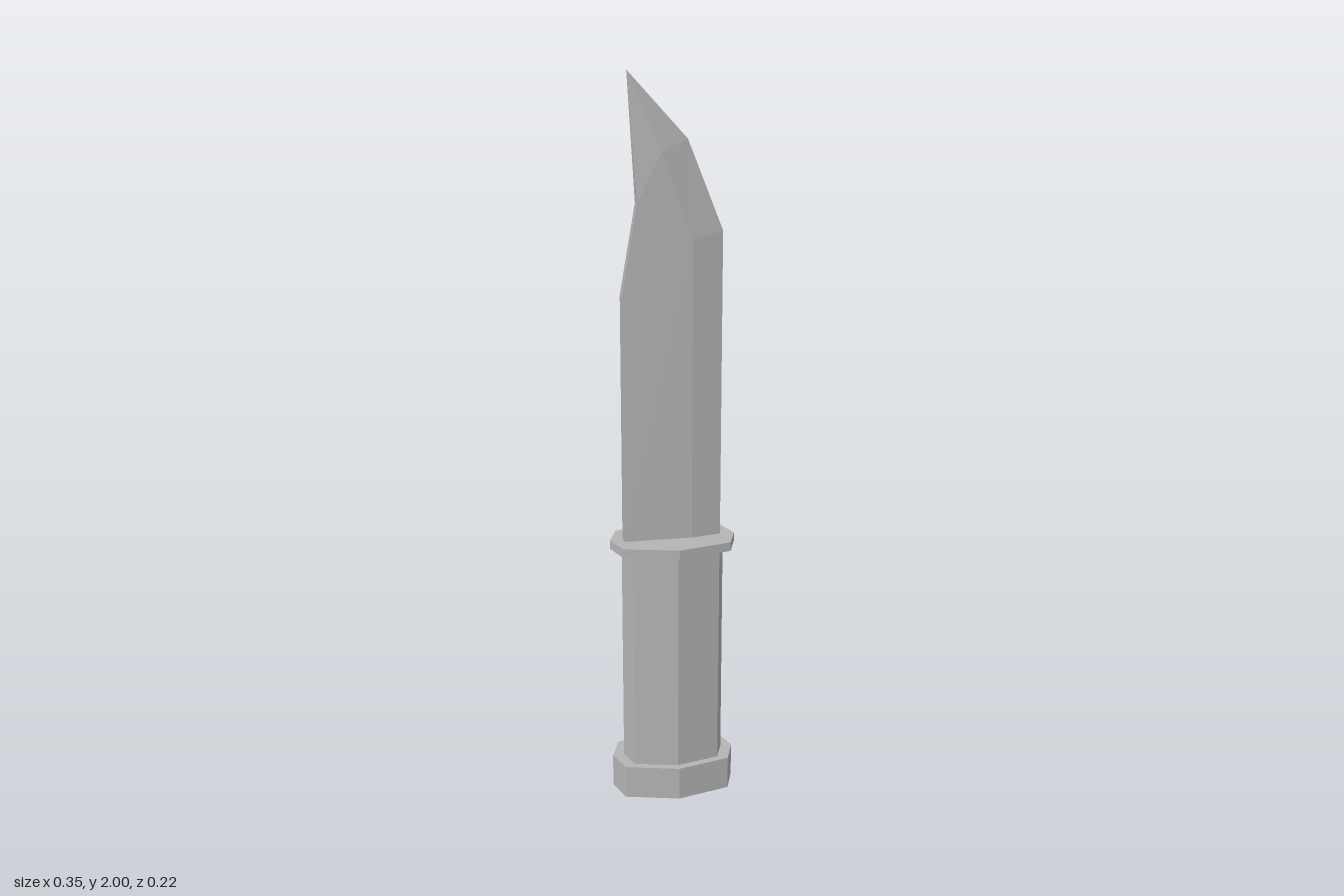
import * as THREE from 'three';

const steel = new THREE.MeshStandardMaterial({ color: 0xb4b4b4, flatShading: true });
steel.name = 'grey steel';

// Upright eight-sided prism: outer half width, corner offset, half depth
function octagonPrism(name, halfX, cornerX, cornerZ, halfZ, y0, y1) {
  const shape = new THREE.Shape([
    [halfX, 0], [cornerX, cornerZ], [0, halfZ], [-cornerX, cornerZ],
    [-halfX, 0], [-cornerX, -cornerZ], [0, -halfZ], [cornerX, -cornerZ],
  ].map(([x, y]) => new THREE.Vector2(x, y)));
  const geometry = new THREE.ExtrudeGeometry(shape, { depth: y1 - y0, bevelEnabled: false });
  geometry.rotateX(-Math.PI / 2).translate(0, y0, 0);
  const mesh = new THREE.Mesh(geometry, steel);
  mesh.name = name;
  return mesh;
}

function createBlade() {
  const t = 0.0185; // half thickness
  const base = 0.745;
  // Corners of one side: x, y, z
  const p = {
    spineBase: [-0.137, base, t], spineMid: [-0.137, 1.43, t], spineTop: [-0.095, 1.67, t],
    ridgeBase: [0.051, base, t], ridgeTop: [0.051, 1.57, t], peak: [-0.031, 1.8, t],
    edgeBase: [0.134, base, 0], edgeMid: [0.134, 1.595, 0], edgeTop: [0.04, 1.83, 0],
    tip: [-0.117, 2, 0],
  };
  const sideFaces = [
    // Flat of the blade
    ['ridgeTop', 'peak', 'spineTop', 'spineMid', 'spineBase', 'ridgeBase'],
    // Ground edge
    ['ridgeBase', 'edgeBase', 'edgeMid', 'ridgeTop'],
    ['ridgeTop', 'edgeMid', 'edgeTop', 'peak'],
    // Point
    ['peak', 'edgeTop', 'tip'],
    ['spineTop', 'peak', 'tip'],
  ];
  const positions = [];
  const addFace = (points) => {
    for (let i = 1; i < points.length - 1; i++) {
      positions.push(...points[0], ...points[i], ...points[i + 1]);
    }
  };
  const back = ([x, y, z]) => [x, y, -z];

  for (const face of sideFaces) {
    const points = face.map((key) => p[key]);
    addFace(points);
    addFace(points.map(back).reverse());
  }
  // Spine, narrowing into the clipped point
  for (const [a, b] of [[p.spineBase, p.spineMid], [p.spineMid, p.spineTop]]) {
    addFace([back(a), a, b, back(b)]);
  }
  addFace([back(p.spineTop), p.spineTop, p.tip]);
  // Underside
  addFace([p.spineBase, back(p.spineBase), back(p.ridgeBase), p.edgeBase, p.ridgeBase]);

  const geometry = new THREE.BufferGeometry();
  geometry.setAttribute('position', new THREE.Float32BufferAttribute(positions, 3));
  geometry.computeVertexNormals();
  const mesh = new THREE.Mesh(geometry, steel);
  mesh.name = 'blade';
  return mesh;
}

export function createModel() {
  const knife = new THREE.Group();
  knife.name = 'knife';
  knife.add(
    octagonPrism('pommel', 0.174, 0.148, 0.074, 0.111, 0, 0.095),
    octagonPrism('grip', 0.142, 0.12, 0.06, 0.09, 0.095, 0.73),
    octagonPrism('guard', 0.174, 0.148, 0.074, 0.111, 0.73, 0.755),
    createBlade(),
  );
  return knife;
}
